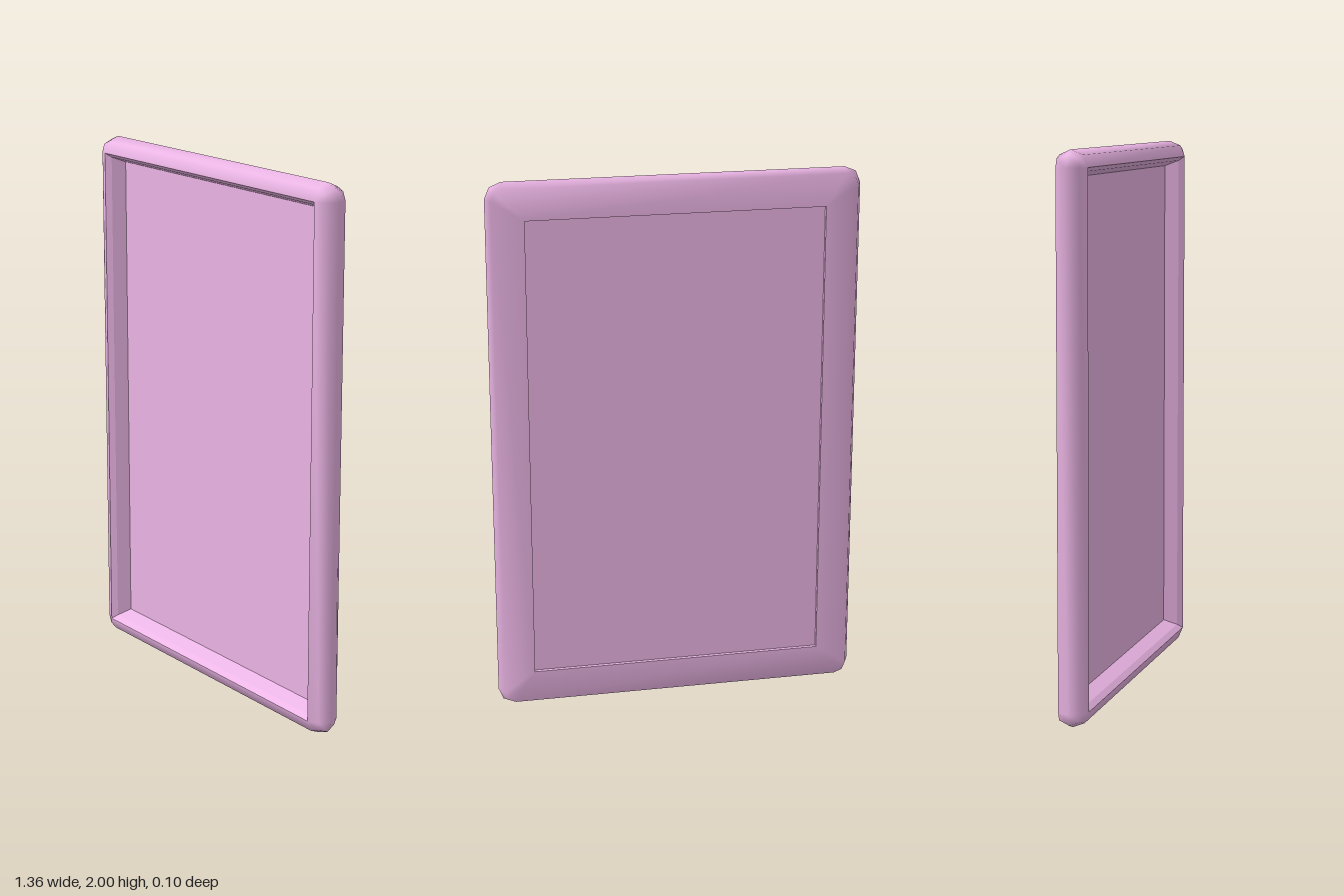
import * as THREE from 'three';
import { mergeVertices } from 'three/addons/utils/BufferGeometryUtils.js';

// Lip rectangle (half sizes) that every ring of the frame is measured from
const HALF_W = 0.62, HALF_H = 0.94;
const CORNERS = [[1, 1], [-1, 1], [-1, -1], [1, -1]];
const STEPS = 2; // segments per rounded corner

// One closed loop around the frame: grown by inset, with corners of the given radius
function ring({ inset = 0, radius = 0, z }) {
  const points = [];
  CORNERS.forEach(([sx, sy], c) => {
    for (let k = 0; k <= STEPS; k++) {
      const a = (c + k / STEPS) * Math.PI / 2;
      points.push(
        sx * (HALF_W + inset) + radius * Math.cos(a),
        1 + sy * (HALF_H + inset) + radius * Math.sin(a),
        z
      );
    }
  });
  return points;
}

// Skin a list of rings into a surface
function loft(profile) {
  const n = CORNERS.length * (STEPS + 1);
  const index = [];
  for (let j = 0; j < profile.length - 1; j++) {
    for (let i = 0; i < n; i++) {
      const a = j * n + i, b = j * n + (i + 1) % n;
      index.push(a, a + n, b, b, a + n, b + n);
    }
  }
  const geometry = new THREE.BufferGeometry();
  geometry.setAttribute('position', new THREE.Float32BufferAttribute(profile.flatMap(ring), 3));
  geometry.setIndex(index);
  const merged = mergeVertices(geometry, 1e-5);
  // Drop the triangles that collapse at sharp corners
  const kept = [], ix = merged.index.array;
  for (let t = 0; t < ix.length; t += 3) {
    const [a, b, c] = [ix[t], ix[t + 1], ix[t + 2]];
    if (a !== b && b !== c && c !== a) kept.push(a, b, c);
  }
  merged.setIndex(kept);
  merged.computeVertexNormals();
  return merged;
}

export function createModel() {
  const group = new THREE.Group();
  const smooth = new THREE.MeshStandardMaterial({ color: 0xeab4e4 });
  const flat = new THREE.MeshStandardMaterial({ color: 0xeab4e4, flatShading: true });

  const add = (name, geometry, material) => {
    const mesh = new THREE.Mesh(geometry, material);
    mesh.name = name;
    group.add(mesh);
    return mesh;
  };

  // Rounded outer border, from the front lip round to the back opening
  const R = 0.06, D = R * Math.SQRT1_2;
  add('roundedFrame', loft([
    { z: 0.05 },
    { radius: D, z: D - 0.01 },
    { radius: R, z: -0.01 },
    { radius: D, z: -0.05 },
    { inset: -0.075, z: -0.05 },
  ]), smooth);

  // Two-step sloping wall inside the front lip
  add('frontInnerWall', loft([
    { inset: -0.035, z: -0.02 },
    { inset: -0.015, z: 0.03 },
    { z: 0.05 },
  ]), flat);

  // Shallow recess around the back opening
  add('backRecessWall', loft([
    { inset: -0.075, z: -0.05 },
    { inset: -0.075, z: -0.035 },
  ]), flat);

  // Flat panel held by the frame
  add('panel', new THREE.BoxGeometry(2 * (HALF_W - 0.035), 2 * (HALF_H - 0.035), 0.015), flat)
    .position.set(0, 1, -0.0275);

  return group;
}
